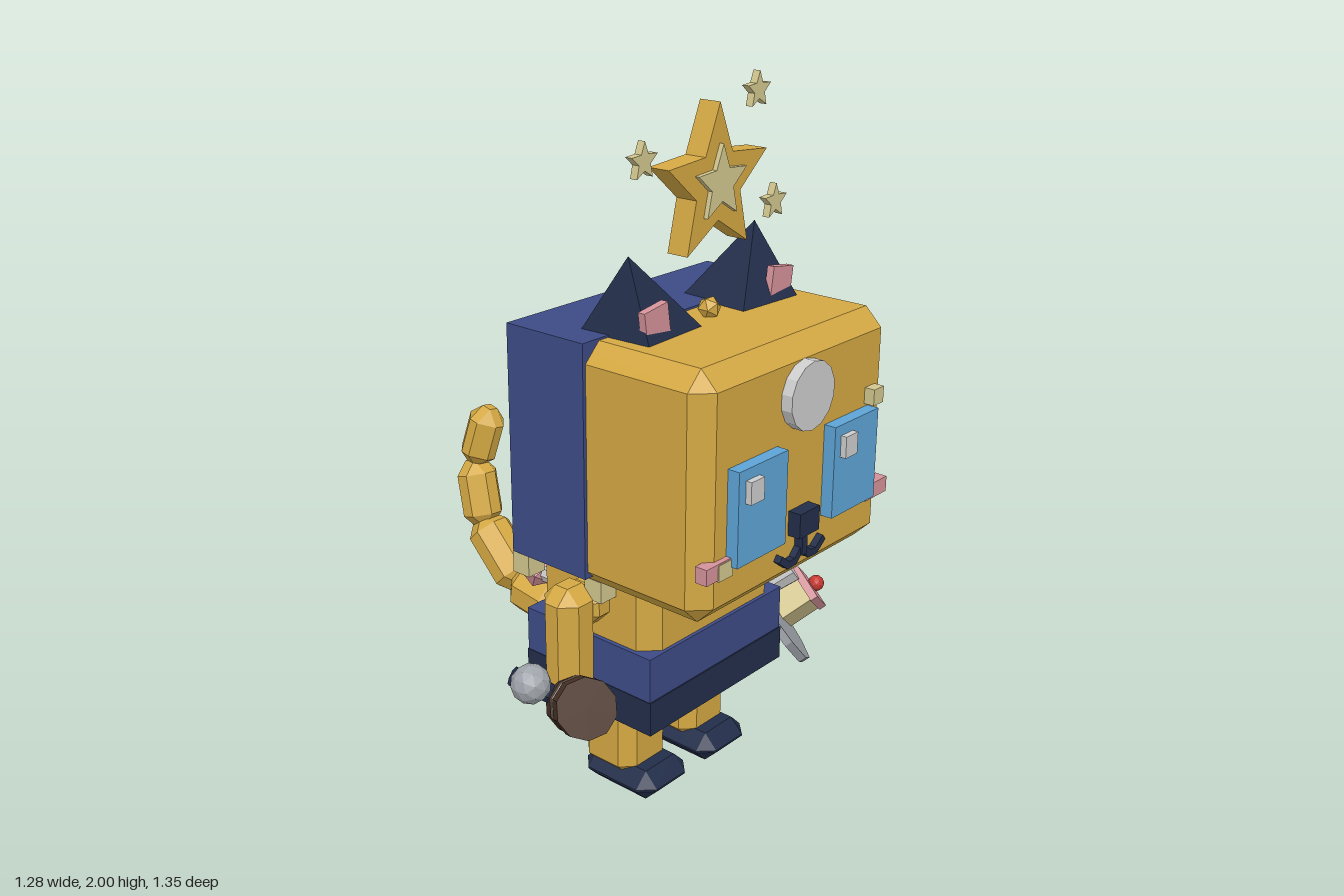
import * as THREE from 'three';
import { ConvexGeometry } from 'three/addons/geometries/ConvexGeometry.js';

const V = (x, y, z) => new THREE.Vector3(x, y, z);
const CX = -0.07; // the figure's own mirror plane
const UP = V(0, 1, 0);

function material(name, color) {
  const m = new THREE.MeshStandardMaterial({ color });
  m.name = name;
  m.flatShading = true;
  return m;
}

// Box with flat bevels on every edge and corner
function bevelBox(w, h, d, r) {
  const pts = [];
  for (const x of [-1, 1]) for (const y of [-1, 1]) for (const z of [-1, 1]) {
    pts.push(V(x * w / 2, y * (h / 2 - r), z * (d / 2 - r)));
    pts.push(V(x * (w / 2 - r), y * h / 2, z * (d / 2 - r)));
    pts.push(V(x * (w / 2 - r), y * (h / 2 - r), z * d / 2));
  }
  return new ConvexGeometry(pts);
}

function starGeometry(radius, depth) {
  const shape = new THREE.Shape();
  for (let i = 0; i < 10; i++) {
    const a = Math.PI / 2 + i * Math.PI / 5, r = i % 2 ? radius * 0.45 : radius;
    shape[i ? 'lineTo' : 'moveTo'](Math.cos(a) * r, Math.sin(a) * r);
  }
  shape.closePath();
  return new THREE.ExtrudeGeometry(shape, { depth, bevelEnabled: false }).translate(0, 0, -depth / 2);
}

export function createModel() {
  const root = new THREE.Group();
  root.name = 'catFigure';
  const gold = material('gold fur', 0xd4a843), blue = material('cloth blue', 0x3d4b85);
  const navy = material('navy', 0x222d49), sky = material('sky blue', 0x5da4d6);
  const pink = material('pink', 0xd4929a), cream = material('cream', 0xd2c68e);
  const silver = material('light silver', 0xcdcdcd), steel = material('steel grey', 0x9fa4aa);
  const brown = material('brown', 0x4b3427), red = material('red', 0xc4372f);

  const add = (name, geo, mat, x, y, z) => {
    const m = new THREE.Mesh(geo, mat);
    m.name = name;
    m.position.set(x, y, z);
    root.add(m);
    return m;
  };
  const box = (name, mat, x, y, z, w, h, d) => add(name, new THREE.BoxGeometry(w, h, d), mat, x, y, z);
  // Places a mesh with its own y axis turned along dir
  const along = (name, geo, mat, p, dir) => {
    const m = add(name, geo, mat, p.x, p.y, p.z);
    m.quaternion.setFromUnitVectors(UP, dir);
    return m;
  };

  // Head, hood, body and skirt
  add('head', bevelBox(0.79, 0.665, 0.63, 0.05), gold, CX, 1.062, 0.3);
  box('hood', blue, CX, 1.08, 0.108, 0.81, 0.64, 0.265);
  add('body', bevelBox(0.55, 0.58, 0.43, 0.05), gold, CX, 0.58, 0.135);
  box('belt', blue, CX, 0.455, 0.133, 0.576, 0.13, 0.456);
  box('skirt', navy, CX, 0.34, 0.134, 0.58, 0.1, 0.462);

  // Face
  for (const x of [-0.27, 0.13]) {
    box('eye', sky, x, 1.012, 0.63, 0.197, 0.255, 0.04);
    box('eyeHighlight', silver, x - 0.045, 1.08, 0.655, 0.053, 0.06, 0.024);
  }
  const disc = add('foreheadDisc', new THREE.CylinderGeometry(0.092, 0.092, 0.035, 14), silver, CX, 1.253, 0.63);
  disc.rotation.x = Math.PI / 2;
  box('nose', navy, CX, 0.91, 0.63, 0.085, 0.068, 0.045);
  box('noseLine', navy, CX, 0.85, 0.625, 0.022, 0.07, 0.03);
  box('cheekTab', cream, -0.39, 0.883, 0.62, 0.055, 0.045, 0.025);
  box('browTab', cream, 0.235, 1.17, 0.625, 0.045, 0.045, 0.04);
  add('topBell', new THREE.IcosahedronGeometry(0.032, 0), gold, CX, 1.415, 0.31);

  // Paired parts: s = -1 right, 1 left
  for (const s of [-1, 1]) {
    box('cheek', pink, CX + s * 0.342, 0.887, 0.612, 0.1, 0.044, 0.036);
    // Mouth curls
    const curl = [[0.008, 0.828], [0.03, 0.805], [0.06, 0.803], [0.092, 0.828]];
    for (let i = 0; i < 3; i++) {
      const [x0, y0] = curl[i], [x1, y1] = curl[i + 1];
      const m = box('mouth', navy, CX + s * (x0 + x1) / 2, (y0 + y1) / 2, 0.622,
        Math.hypot(x1 - x0, y1 - y0) + 0.008, 0.02, 0.025);
      m.rotation.z = s * Math.atan2(y1 - y0, x1 - x0);
    }
    // Ear: four-sided cone with its tip leaning outwards
    const ear = new THREE.ConeGeometry(0.16, 0.205, 4).rotateY(Math.PI / 4);
    const p = ear.attributes.position;
    for (let i = 0; i < p.count; i++) if (p.getY(i) > 0) p.setX(i, p.getX(i) + s * 0.055);
    add('ear', ear, navy, CX + s * 0.2, 1.49, 0.253).rotation.y = -s * 0.06;
    const inner = box('innerEar', pink, CX + s * 0.255, 1.442, 0.343, 0.088, 0.08, 0.022);
    inner.rotation.z = -s * 0.15;
    // Leg, foot, shoulder, arm and paw
    add('leg', bevelBox(0.188, 0.3, 0.188, 0.038), gold, CX + s * 0.133, 0.2, 0.134);
    add('foot', bevelBox(0.206, 0.09, 0.265, 0.042), navy, CX + s * 0.133, 0.045, 0.175);
    add('shoulder', bevelBox(0.14, 0.13, 0.13, 0.045), gold, CX + s * 0.29, 0.625, 0.14);
    add('arm', bevelBox(0.135, 0.32, 0.125, 0.04), gold, CX + s * 0.362, 0.54, 0.138);
    add('paw', bevelBox(0.13, 0.12, 0.13, 0.045), navy, CX + s * 0.37, 0.39, 0.13);
  }

  // Small cream blocks around the body
  for (const [x, y, z] of [[0.235, 0.68, -0.07], [0.235, 0.71, 0.055], [0.235, 0.525, 0.18],
    [-0.373, 0.69, 0.2], [-0.373, 0.68, -0.07]]) box('charmBlock', cream, x, y, z, 0.062, 0.062, 0.06);

  // Stars above the head
  add('bigStar', starGeometry(0.205, 0.065), gold, CX, 1.742, 0.302);
  add('innerStar', starGeometry(0.1, 0.02), cream, CX, 1.745, 0.338);
  for (const [x, y] of [[-0.325, 1.833], [0.12, 1.951], [0.205, 1.648]])
    add('smallStar', starGeometry(0.049, 0.022), cream, x, y, 0.3);

  // Tail: tapering bevelled segments
  const tail = [V(CX, 0.39, -0.05), V(CX, 0.36, -0.25), V(CX, 0.385, -0.42), V(-0.065, 0.54, -0.58),
    V(-0.05, 0.72, -0.63), V(-0.02, 0.91, -0.585)];
  for (let i = 0; i < tail.length - 1; i++) {
    const d = tail[i + 1].clone().sub(tail[i]), w = 0.152 - i * 0.009;
    const mid = tail[i].clone().addScaledVector(d, 0.5);
    const len = d.length() + (i < 4 ? 0.025 : 0);
    along('tailSegment', bevelBox(w, len, w, 0.042), gold, mid, d.normalize());
  }

  // Beaded cord on the back
  const beads = [[-0.06, 0.87, red], [0.09, 0.79, gold], [0.015, 0.717, cream], [-0.18, 0.637, sky],
    [-0.215, 0.555, pink], [-0.06, 0.477, red], [0.08, 0.4, gold]];
  const cord = new THREE.CatmullRomCurve3(beads.map(([x, y]) => V(x, y, -0.112)));
  add('cord', new THREE.TubeGeometry(cord, 28, 0.01, 5), brown, 0, 0, 0);
  for (const [x, y, mat] of beads) {
    add('bead', new THREE.IcosahedronGeometry(0.052, 0), mat, x, y, -0.192);
    along('beadStem', new THREE.CylinderGeometry(0.028, 0.028, 0.06, 8), silver, V(x, y, -0.135), V(0, 0, 1));
  }

  // Tray on the left arm, carrying a cup and a cake
  const n = V(0.63, 0.56, 0.54).normalize();
  const onTray = (x, y, z, h) => V(0.43 + x, 0.322 + y, 0.155 + z).addScaledVector(n, h);
  along('tray', new THREE.CylinderGeometry(0.225, 0.225, 0.025, 12), steel, onTray(0, 0, 0, 0), n);
  along('cup', new THREE.CylinderGeometry(0.065, 0.055, 0.12, 10), silver, onTray(-0.074, 0.081, 0.003, 0.07), n);
  along('cake', new THREE.BoxGeometry(0.11, 0.11, 0.11), cream, onTray(0.066, -0.065, -0.012, 0.065), n);
  along('icing', new THREE.BoxGeometry(0.12, 0.025, 0.12), pink, onTray(0.066, -0.065, -0.012, 0.13), n);
  along('cherry', new THREE.IcosahedronGeometry(0.026, 1), red, onTray(0.066, -0.065, -0.012, 0.158), n);

  // Mallet at the right paw
  const a = V(-0.5, 0.42, 0.76).normalize();
  const onMallet = (t) => V(-0.49, 0.39, 0.225).addScaledVector(a, t);
  along('malletFace', new THREE.CylinderGeometry(0.083, 0.083, 0.06, 10), brown, onMallet(0.075), a);
  along('malletBand', new THREE.CylinderGeometry(0.075, 0.075, 0.05, 10), silver, onMallet(0.02), a);
  along('malletBack', new THREE.CylinderGeometry(0.08, 0.08, 0.06, 10), brown, onMallet(-0.035), a);
  const h = V(-0.1, 0.08, -0.09).normalize();
  along('malletHandle', new THREE.CylinderGeometry(0.028, 0.028, 0.2, 8), navy, V(-0.52, 0.41, 0.13), h);
  add('malletKnob', new THREE.IcosahedronGeometry(0.055, 1), steel, -0.585, 0.465, 0.142);

  return root;
}
